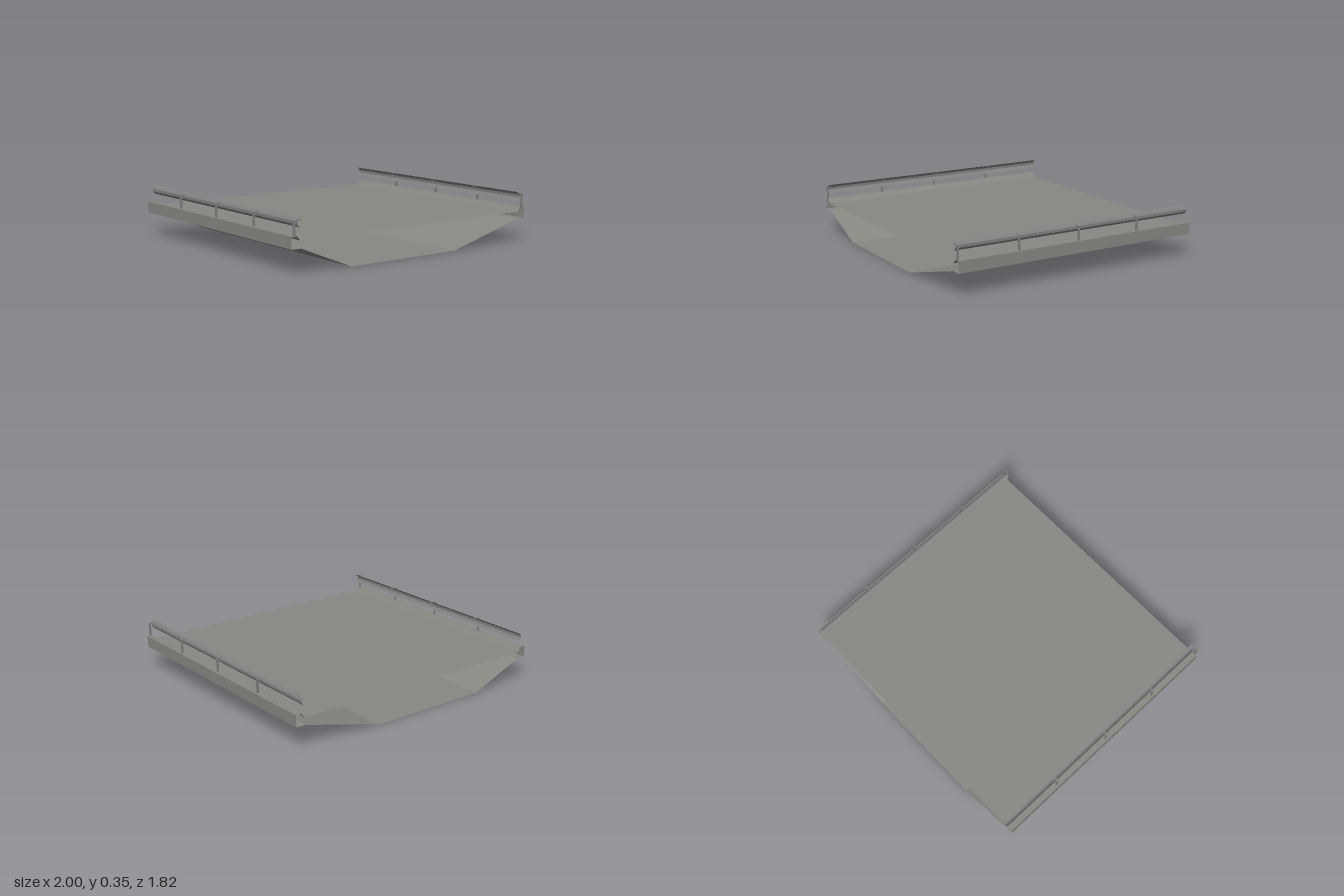
import * as THREE from 'three';

const HALF = 0.91; // half length along z

// Open sheet swept along z from a list of [x, y] profile points
function sheet(points, material, name) {
  const pos = [];
  for (let i = 0; i < points.length - 1; i++) {
    const [ax, ay] = points[i], [bx, by] = points[i + 1];
    pos.push(ax, ay, HALF, bx, by, HALF, bx, by, -HALF);
    pos.push(ax, ay, HALF, bx, by, -HALF, ax, ay, -HALF);
  }
  const g = new THREE.BufferGeometry();
  g.setAttribute('position', new THREE.Float32BufferAttribute(pos, 3));
  g.computeVertexNormals();
  const mesh = new THREE.Mesh(g, material);
  mesh.name = name;
  return mesh;
}

export function createModel() {
  const concrete = new THREE.MeshStandardMaterial({ color: 0x868882, side: THREE.DoubleSide });
  concrete.name = 'concrete grey';
  const steel = new THREE.MeshStandardMaterial({ color: 0x808080, side: THREE.DoubleSide });
  steel.name = 'steel grey';

  const model = new THREE.Group();
  model.name = 'bridgeSection';

  // Road surface and off-centre underside, open at both ends
  model.add(sheet([[0.935, 0.21], [-0.935, 0.21]], concrete, 'roadDeck'));
  model.add(sheet([[-0.93, 0.16], [-0.54, 0], [0.34, 0], [0.93, 0.16]], concrete, 'underside'));

  for (const s of [1, -1]) {
    const side = new THREE.Group();
    side.name = s > 0 ? 'leftSide' : 'rightSide';
    model.add(side);
    const mirror = (pts) => {
      const out = pts.map(([x, y]) => [x * s, y]);
      return s > 0 ? out : out.reverse();
    };

    // Kerb: underside lip, outer face, top and sloped inner face
    const kerb = [[0.93, 0.16], [1, 0.16], [1, 0.24], [0.96, 0.24], [0.935, 0.21]];
    side.add(sheet(mirror(kerb), concrete, 'kerb'));

    // Guard rail: bent sheet bulging outward
    const rail = [[0.932, 0.29], [0.946, 0.296], [0.957, 0.31], [0.957, 0.328], [0.946, 0.343], [0.932, 0.35]];
    side.add(sheet(mirror(rail), steel, 'guardRail'));

    // Posts with a short arm reaching in to the rail
    const outline = mirror([[0.972, 0.235], [0.985, 0.235], [0.985, 0.335], [0.972, 0.337],
      [0.935, 0.346], [0.935, 0.338], [0.972, 0.326]]);
    const shape = new THREE.Shape(outline.map(([x, y]) => new THREE.Vector2(x, y)));
    const postGeometry = new THREE.ExtrudeGeometry(shape, { depth: 0.01, bevelEnabled: false });
    for (const z of [0.9, 0.455, 0, -0.47]) {
      const post = new THREE.Mesh(postGeometry, steel);
      post.name = 'railPost';
      post.position.z = z;
      side.add(post);
    }
  }
  return model;
}
